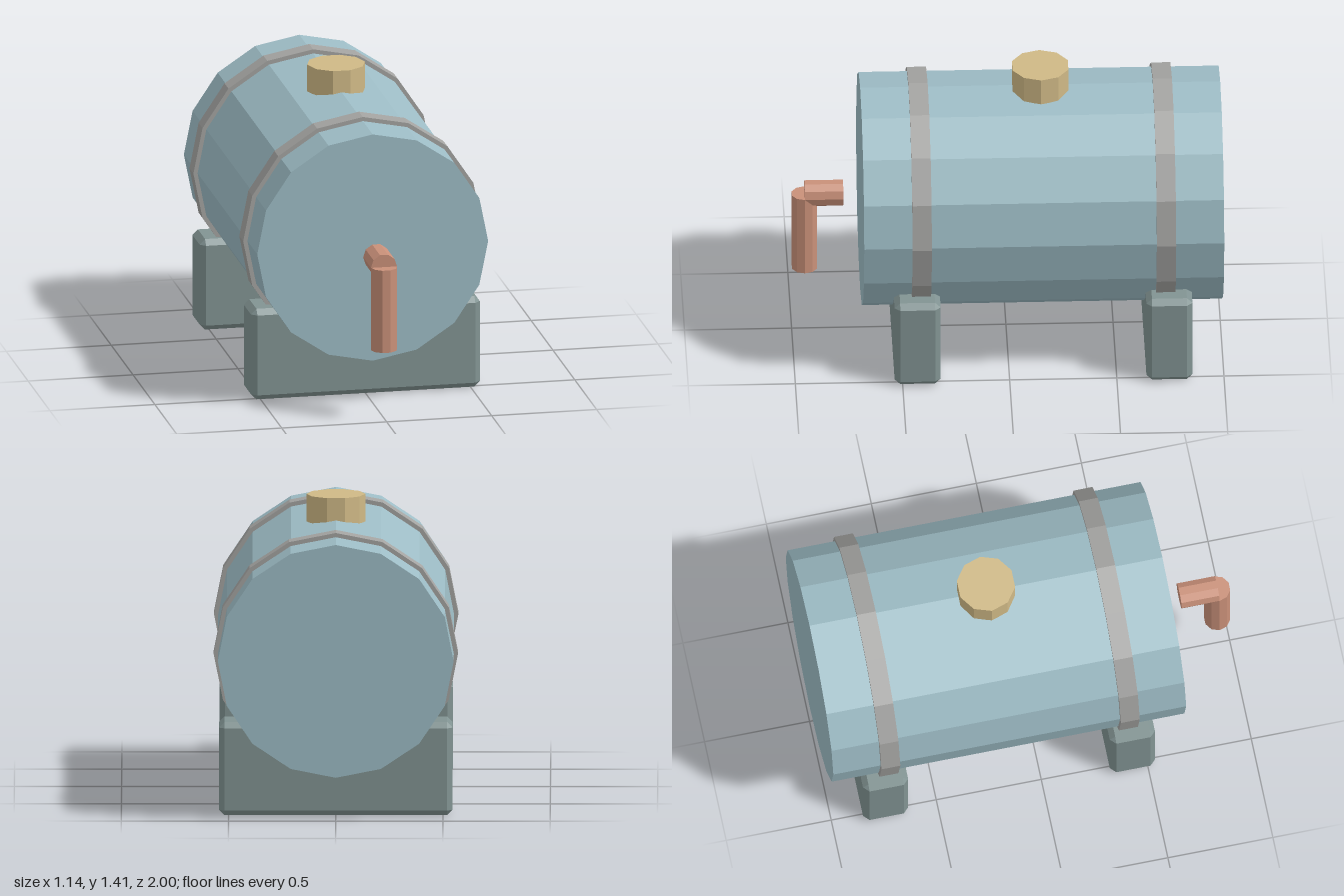
import * as THREE from 'three';
import { ConvexGeometry } from 'three/addons/geometries/ConvexGeometry.js';

const material = (color) => new THREE.MeshStandardMaterial({ color, flatShading: true });

// Box with a single flat chamfer on every edge
function chamferedBox(w, h, d, c) {
  const points = [];
  for (const x of [-1, 1]) for (const y of [-1, 1]) for (const z of [-1, 1]) {
    for (let axis = 0; axis < 3; axis++) {
      const half = [w / 2, h / 2, d / 2].map((s, i) => (i === axis ? s : s - c));
      points.push(new THREE.Vector3(x * half[0], y * half[1], z * half[2]));
    }
  }
  return new ConvexGeometry(points);
}

export function createModel() {
  const model = new THREE.Group();
  model.name = 'barrelTank';

  const tankMat = material(0x9dbcc5);
  const bandMat = material(0xa3a3a1);
  const saddleMat = material(0x819392);
  const capMat = material(0xcfb986);
  const pipeMat = material(0xc99079);

  function add(name, geometry, mat, x, y, z) {
    const mesh = new THREE.Mesh(geometry, mat);
    mesh.name = name;
    mesh.position.set(x, y, z);
    model.add(mesh);
    return mesh;
  }

  // Cylinder lying along z
  const lying = (r, length, sides, start = 0) =>
    new THREE.CylinderGeometry(r, r, length, sides, 1, false, start).rotateX(Math.PI / 2);

  // Tank body
  const axisY = 0.755;
  add('tank', lying(0.55, 1.68, 16), tankMat, 0, axisY, -0.16);

  // Straps and the saddles under them
  for (const [end, z, saddleZ] of [['front', 0.41, 0.43], ['rear', -0.73, -0.745]]) {
    add(end + 'Strap', lying(0.57, 0.09, 16), bandMat, 0, axisY, z);
    add(end + 'Saddle', chamferedBox(1.09, 0.44, 0.215, 0.026), saddleMat, 0, 0.22, saddleZ);
  }

  // Filler cap
  const quarter = Math.PI / 2;
  add('fillerCap', new THREE.CylinderGeometry(0.137, 0.137, 0.13, 10, 1, false, quarter),
    capMat, 0, 1.345, -0.16);

  // Outlet pipe: short horizontal stub, then a drop
  add('outletStub', lying(0.062, 0.18, 10, quarter), pipeMat, 0, 0.735, 0.85);
  add('outletDrop', new THREE.CylinderGeometry(0.062, 0.062, 0.4, 10, 1, false, quarter),
    pipeMat, 0, 0.535, 0.94);

  return model;
}
